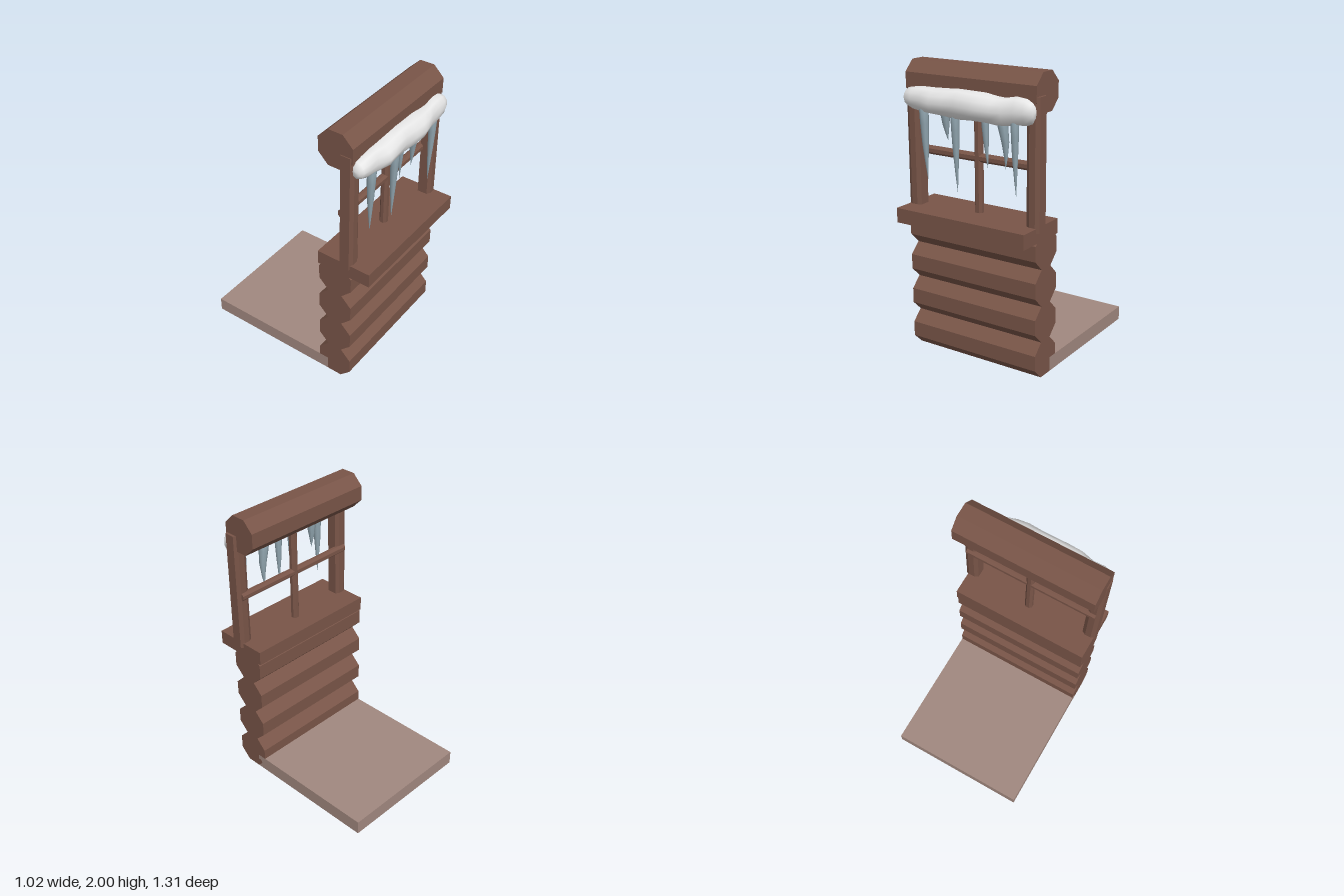
import * as THREE from 'three';

const mat = (name, color) => {
  const m = new THREE.MeshStandardMaterial({ color });
  m.name = name;
  return m;
};

// Eight-sided prism along z, centred; bw and bd are the corner cuts
function octPrism(w, d, bw, bd, length) {
  const x = w / 2, y = d / 2;
  const pts = [[x, y - bd], [x - bw, y], [-x + bw, y], [-x, y - bd],
    [-x, -y + bd], [-x + bw, -y], [x - bw, -y], [x, -y + bd]];
  const shape = new THREE.Shape(pts.map(p => new THREE.Vector2(...p)));
  return new THREE.ExtrudeGeometry(shape, { depth: length, bevelEnabled: false })
    .translate(0, 0, -length / 2);
}

// Smooth closed surface through rings; point(i, angle) gives a vertex
function loft(count, sides, point) {
  const pos = [], index = [];
  for (let i = 0; i < count; i++) {
    for (let j = 0; j < sides; j++) pos.push(...point(i, j / sides * Math.PI * 2));
  }
  for (let i = 0; i < count - 1; i++) {
    for (let j = 0; j < sides; j++) {
      const a = i * sides + j, b = i * sides + (j + 1) % sides;
      index.push(a, b, a + sides, b, b + sides, a + sides);
    }
  }
  const g = new THREE.BufferGeometry();
  g.setAttribute('position', new THREE.Float32BufferAttribute(pos, 3));
  g.setIndex(index);
  g.computeVertexNormals();
  return g;
}

export function createModel() {
  const model = new THREE.Group();
  model.name = 'cabinWindowWall';
  const wood = mat('brown wood', 0x795548);
  const floorMat = mat('pale floor', 0xa1887f);
  const snowMat = mat('snow white', 0xeeeeee);
  const iceMat = mat('ice blue', 0x90a4ae);

  const add = (name, geometry, material, x = 0, y = 0, z = 0) => {
    const mesh = new THREE.Mesh(geometry, material);
    mesh.name = name;
    mesh.position.set(x, y, z);
    model.add(mesh);
  };
  const W = 0.997, CX = -0.006;

  // Stacked wall logs and the log over the window
  const log = octPrism(0.25, 0.25, 0.073, 0.073, W).rotateY(Math.PI / 2);
  [0.125, 0.375, 0.625, 0.875, 1.875].forEach((y, i) =>
    add(i < 4 ? 'wallLog' : 'lintelLog', log, wood, CX, y, 0.394));

  // Floor slab and window sill
  add('floor', new THREE.BoxGeometry(W, 0.1, 0.995), floorMat, CX, 0.0505, -0.159);
  add('windowSill', new THREE.BoxGeometry(W, 0.1, 0.396), wood, CX, 0.993, 0.457);

  // Window frame
  const post = octPrism(0.095, 0.1, 0.026, 0.015, 0.85).rotateX(-Math.PI / 2);
  for (const side of [-1, 1]) add('sidePost', post, wood, side * 0.463, 1.435, 0.469);
  add('centrePost', octPrism(0.055, 0.052, 0.015, 0.015, 0.85).rotateX(-Math.PI / 2),
    wood, 0.003, 1.435, 0.426);
  add('crossRail', octPrism(0.05, 0.055, 0.015, 0.015, 0.97).rotateY(Math.PI / 2),
    wood, 0, 1.408, 0.426);

  // Lumpy snow roll: x, bottom, top, front z
  const snow = [
    [-0.497, 1.77, 1.77, 0.525], [-0.493, 1.735, 1.805, 0.56], [-0.475, 1.71, 1.83, 0.58],
    [-0.42, 1.692, 1.842, 0.592], [-0.34, 1.68, 1.846, 0.592], [-0.25, 1.675, 1.846, 0.622],
    [-0.15, 1.668, 1.855, 0.617], [-0.06, 1.664, 1.86, 0.613], [0.04, 1.668, 1.853, 0.622],
    [0.13, 1.664, 1.853, 0.626], [0.21, 1.662, 1.845, 0.612], [0.28, 1.664, 1.838, 0.592],
    [0.36, 1.674, 1.85, 0.59], [0.43, 1.682, 1.846, 0.585], [0.47, 1.7, 1.825, 0.572],
    [0.487, 1.73, 1.8, 0.555], [0.491, 1.765, 1.765, 0.525],
  ];
  const last = snow.length - 1;
  add('snowRoll', loft(snow.length, 12, (i, a) => {
    const [x, lo, hi, front] = snow[i];
    const end = i === 0 || i === last;
    const lump = 1 + 0.035 * Math.sin(i * 1.7 + a * 3);
    const ry = (hi - lo) / 2, rz = end ? 0 : (front - 0.525) * lump;
    return [x, (hi + lo) / 2 + Math.cos(a) * ry * lump, 0.525 + Math.sin(a) * rz];
  }), snowMat);

  // Icicles: x, z, radius, tip y, x shift at the bend, x shift at the tip
  const icicles = [
    [-0.342, 0.545, 0.031, 1.23, 0.003, 0.012], [-0.222, 0.48, 0.034, 1.5, 0.002, 0.012],
    [-0.092, 0.548, 0.029, 1.18, 0, 0.004], [0.088, 0.48, 0.026, 1.35, 0.006, 0.014],
    [0.212, 0.48, 0.036, 1.37, 0.032, 0.024], [0.355, 0.545, 0.027, 1.22, -0.002, 0.002],
  ];
  const taper = [[0, 0], [0, 1], [0.22, 0.92], [0.5, 0.68], [0.78, 0.32], [1, 0]];
  for (const [x, z, r, tip, bend, end] of icicles) {
    add('icicle', loft(taper.length, 8, (i, a) => {
      const [t, s] = taper[i];
      const shift = t < 0.6 ? bend * t / 0.6 : bend + (end - bend) * (t - 0.6) / 0.4;
      return [x + shift + Math.cos(a) * r * s, 1.72 + (tip - 1.72) * t,
        z - 0.012 * t + Math.sin(a) * r * s];
    }), iceMat);
  }
  return model;
}
